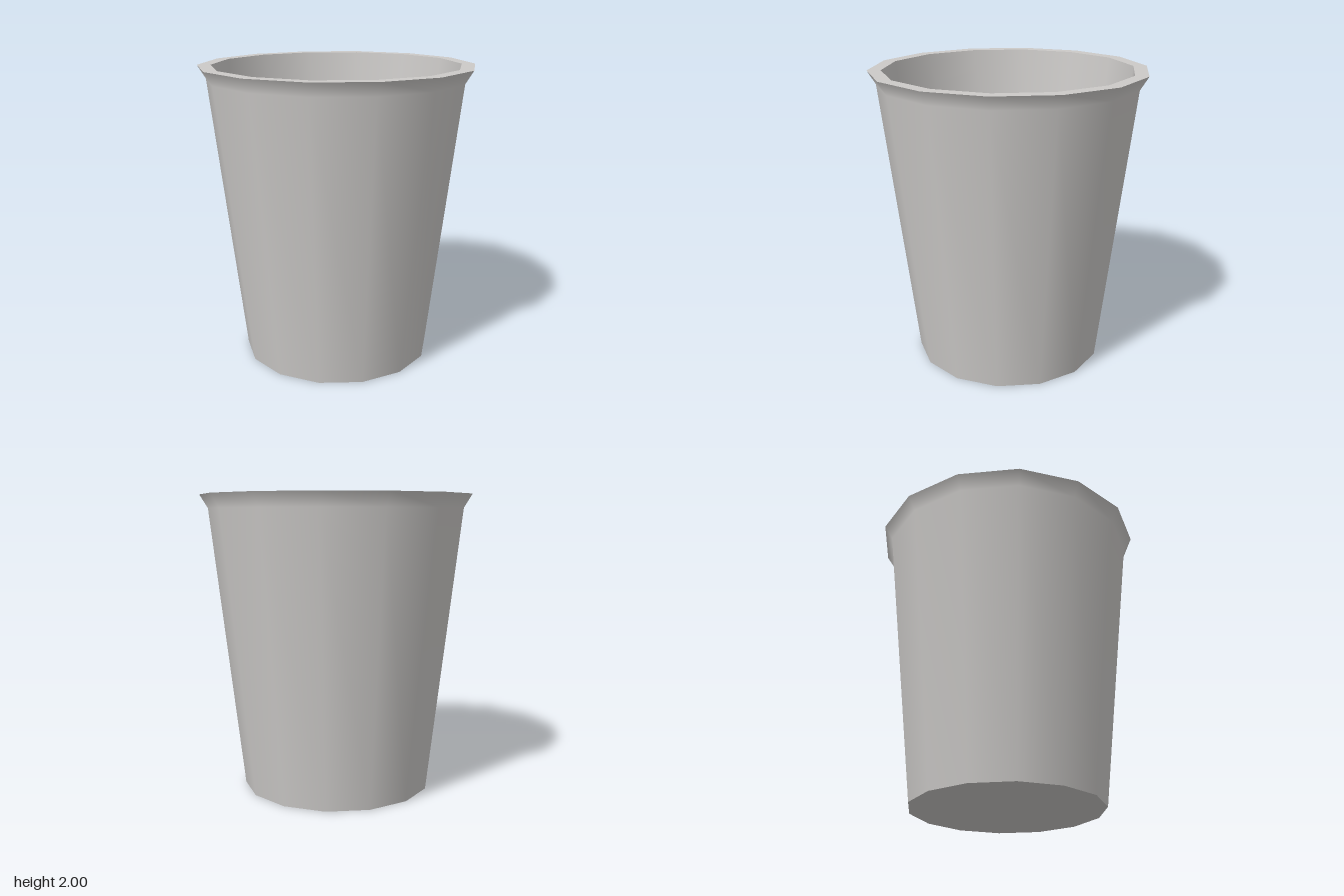
import * as THREE from 'three';

const SIDES = 14;

export function createModel() {
  const group = new THREE.Group();
  const cupGrey = new THREE.MeshStandardMaterial({ color: 0xcccac8 });
  cupGrey.name = 'cup grey';
  const drinkBrown = new THREE.MeshStandardMaterial({ color: 0x81614a });
  drinkBrown.name = 'drink brown';

  // Revolve a [radius, height] profile, with a corner on the x axis
  function revolve(name, profile, material) {
    const points = profile.map(([r, y]) => new THREE.Vector2(r, y));
    const mesh = new THREE.Mesh(new THREE.LatheGeometry(points, SIDES, Math.PI / 2), material);
    mesh.name = name;
    group.add(mesh);
  }

  // Tapered outside with its flared lip
  revolve('outerWall', [[0.645, 0], [0.865, 1.91], [0.92, 2]], cupGrey);
  // Flat top of the lip
  revolve('rim', [[0.92, 2], [0.83, 2]], cupGrey);
  // Inside of the cup
  revolve('innerWall', [[0.83, 2], [0.605, 0.04]], cupGrey);
  revolve('innerFloor', [[0.605, 0.04], [0, 0.04]], cupGrey);
  // Underside
  revolve('base', [[0, 0], [0.645, 0]], cupGrey);
  // Drink surface low inside the cup
  revolve('drink', [[0.636, 0.3], [0, 0.3]], drinkBrown);

  return group;
}
